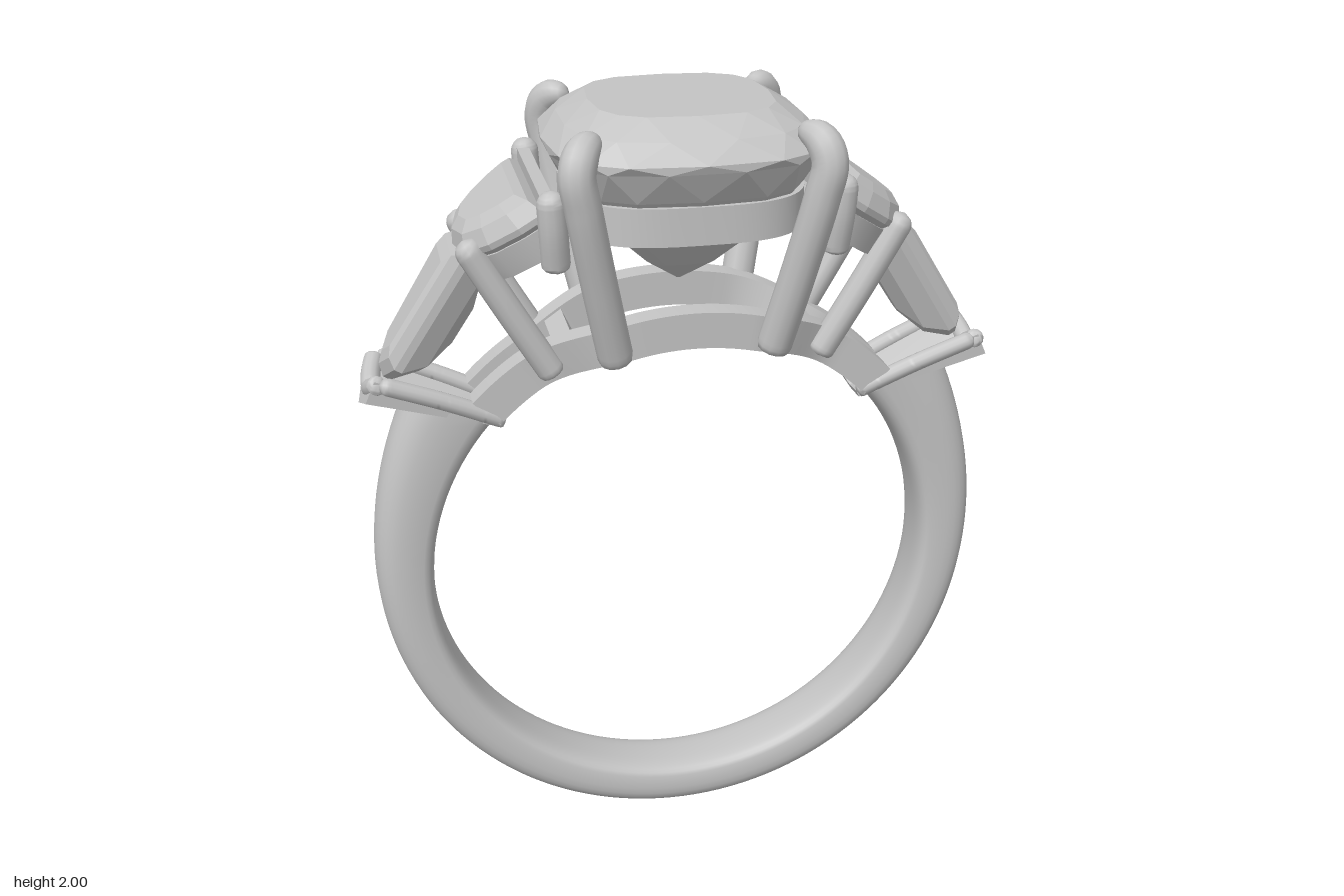
import * as THREE from 'three';
import { toCreasedNormals } from 'three/addons/utils/BufferGeometryUtils.js';

const silver = new THREE.MeshStandardMaterial({ color: 0xc4c4c4 });
silver.name = 'silver grey';
const V = (x, y, z) => new THREE.Vector3(x, y, z);
const CY = 0.78, INNER = 0.65; // finger hole centre height and radius

function add(parent, name, geometry) {
  const mesh = new THREE.Mesh(geometry, silver);
  mesh.name = name;
  parent.add(mesh);
  return mesh;
}

function fromTriangles(tris) {
  const g = new THREE.BufferGeometry().setFromPoints(tris);
  g.computeVertexNormals();
  return g;
}

// Skin a list of closed sections, capping both ends
function loft(sections, crease) {
  const tris = [], n = sections[0].length, last = sections.length - 1;
  const mid = s => s.reduce((a, p) => a.add(p), V(0, 0, 0)).divideScalar(n);
  const c0 = mid(sections[0]), c1 = mid(sections[last]);
  for (let j = 0; j < n; j++) {
    const k = (j + 1) % n;
    for (let i = 0; i < last; i++) {
      const a = sections[i], b = sections[i + 1];
      tris.push(a[j], b[j], a[k], b[j], b[k], a[k]);
    }
    tris.push(c0, sections[0][j], sections[0][k], c1, sections[last][k], sections[last][j]);
  }
  return toCreasedNormals(fromTriangles(tris), crease);
}

// Faceted stone: outline [x, z] scaled about cx for each [scale, y] ring, top to bottom
function gem(outline, rings, cx = 0, stagger = 0) {
  const n = outline.length, tris = [];
  const at = (k, [s, y]) => {
    const f = k - Math.floor(k), p = outline[Math.floor(k) % n], q = outline[(Math.floor(k) + 1) % n];
    return V(cx + (p[0] + (q[0] - p[0]) * f - cx) * s, y, (p[1] + (q[1] - p[1]) * f) * s);
  };
  const last = rings.length - 1;
  for (let i = 0; i < n; i++) {
    for (let j = 0; j < last; j++) {
      const o = i + j * stagger, u = rings[j], l = rings[j + 1];
      const u0 = at(o, u), u1 = at(o + 1, u), l0 = at(o + stagger, l), l1 = at(o + stagger + 1, l);
      tris.push(u0, u1, l0, u1, l1, l0);
    }
    const e = i + last * stagger;
    tris.push(V(cx, rings[0][1], 0), at(i + 1, rings[0]), at(i, rings[0]));
    tris.push(V(cx, rings[last][1], 0), at(e, rings[last]), at(e + 1, rings[last]));
  }
  return fromTriangles(tris);
}

// Round wire with rounded ends; tip is the length of the taper at its far end
function rod(points, r, tip = r) {
  const curve = new THREE.CatmullRomCurve3(points), N = 48, R = 12, L = curve.getLength();
  const g = new THREE.TubeGeometry(curve, N, r, R, false), pos = g.attributes.position;
  const cap = q => (q >= 1 ? 1 : Math.sqrt(Math.max(0, 1 - (1 - q) ** 2)));
  const v = V(0, 0, 0);
  for (let i = 0; i <= N; i++) {
    const t = i / N, c = curve.getPointAt(t);
    const k = Math.min(cap(t * L / (r * 0.5)), cap((1 - t) * L / tip));
    for (let j = 0; j <= R; j++) {
      const id = i * (R + 1) + j;
      v.fromBufferAttribute(pos, id).sub(c).multiplyScalar(k).add(c);
      pos.setXYZ(id, v.x, v.y, v.z);
    }
  }
  return toCreasedNormals(g, 1.2);
}

// Flat collar following an outline, from y0 up to y1
function collar(outline, outer, inner, y0, y1, cx = 0) {
  const pts = s => outline.map(([x, z]) => new THREE.Vector2(cx + (x - cx) * s, -z * s));
  const shape = new THREE.Shape(pts(outer));
  shape.holes.push(new THREE.Path(pts(inner)));
  const g = new THREE.ExtrudeGeometry(shape, { depth: y1 - y0, bevelEnabled: false });
  return toCreasedNormals(g.rotateX(-Math.PI / 2).translate(0, y0, 0), 0.6);
}

const spow = (v, e) => Math.sign(v) * Math.abs(v) ** e;

function cushion(n, r) {
  return Array.from({ length: n }, (_, i) => {
    const a = i / n * Math.PI * 2;
    return [r * spow(Math.cos(a), 0.66), r * spow(Math.sin(a), 0.66)];
  });
}

// Shank: flat inside, domed outside, thickening towards its slanted ends
function shank() {
  const sections = [];
  for (let i = 0; i <= 96; i++) {
    const t = i / 48 - 1, s = [];
    for (let j = 0; j < 28; j++) {
      const a = j / 28 * Math.PI * 2, c = Math.cos(a);
      const f = 0.5 + 0.5 * spow(c, c > 0 ? 0.85 : 0.35);
      const phi = t * (135 - 10 * f) * Math.PI / 180;
      const r = INNER + f * (0.13 + 0.015 * Math.abs(phi / (Math.PI / 2)) ** 5);
      s.push(V(r * Math.sin(phi), CY - r * Math.cos(phi), 0.088 * spow(Math.sin(a), 0.75)));
    }
    sections.push(s);
  }
  return loft(sections, 0.7);
}

// Gallery rail arching over the finger, bowed outwards under the main stone
function rail(side) {
  const sections = [];
  for (let i = 0; i <= 48; i++) {
    const phi = (i / 24 - 1) * 0.8;
    const z = side * (0.065 + 0.09 * (1 - THREE.MathUtils.smoothstep(Math.abs(phi), 0.22, 0.6)));
    sections.push([[0.74, 0.032], [0.74, -0.032], [INNER, -0.032], [INNER, 0.032]].map(([r, d]) =>
      V(r * Math.sin(phi), CY + r * Math.cos(phi), z + d)));
  }
  return loft(sections, 0.6);
}

// V-shaped seat closing the shank, tapering to its inner end
function chevronSeat() {
  const s = new THREE.Shape([[-0.1, 0], [-0.1, -0.06], [0, -0.1], [0.1, -0.06], [0.1, 0], [0, -0.055]]
    .map(p => new THREE.Vector2(...p)));
  const g = new THREE.ExtrudeGeometry(s, { depth: 0.34, bevelEnabled: false });
  const p = g.attributes.position;
  for (let i = 0; i < p.count; i++) {
    const k = 0.3 + 0.7 * p.getZ(i) / 0.34;
    p.setXY(i, p.getX(i) * (0.7 + 0.3 * k), p.getY(i) * k);
  }
  g.rotateY(Math.PI / 2);
  return toCreasedNormals(g.rotateZ(0.42).translate(0.45, 1.235, 0), 0.4);
}

function sideSetting() {
  const side = new THREE.Group();

  // Half-moon stone, tilted outwards
  const moon = new THREE.Group();
  moon.name = 'halfMoonSetting';
  moon.position.set(0.355, 1.8, 0);
  moon.rotation.z = -0.6;
  side.add(moon);
  const half = [[0, -0.22], [0.07, -0.205], [0.15, -0.165], [0.21, -0.105], [0.235, 0],
    [0.21, 0.105], [0.15, 0.165], [0.07, 0.205], [0, 0.22], [0, 0.08], [0, -0.08]];
  add(moon, 'halfMoonStone', gem(half, [[0.62, 0.05], [0.84, 0.034], [1, 0], [1, -0.015], [0.6, -0.09], [0.1, -0.14]], 0.09));
  add(moon, 'halfMoonCollar', collar(half, 0.95, 0.72, -0.1, -0.03, 0.1));
  add(side, 'dividerBar', new THREE.BoxGeometry(0.03, 0.13, 0.44).translate(0.347, 1.77, 0));

  // Tapered baguette stone with a pointed lower end
  const baguette = new THREE.Group();
  baguette.name = 'baguetteSetting';
  baguette.position.set(0.535, 1.68, 0);
  baguette.rotation.z = -1.0;
  side.add(baguette);
  const taper = [[0, -0.098], [0.34, -0.07], [0.39, 0], [0.34, 0.07], [0, 0.098]];
  add(baguette, 'baguetteStone', gem(taper, [[0.72, 0.025], [0.88, 0.015], [1, -0.01], [1, -0.03], [0.75, -0.08], [0.3, -0.11]], 0.18));

  // Seat and its V-shaped claw
  add(side, 'chevronSeat', chevronSeat());
  for (const z of [-1, 1]) {
    add(side, 'chevronArm', rod([V(0.45, 1.235, 0.075 * z), V(0.6, 1.305, 0.09 * z), V(0.75, 1.365, 0.1 * z)], 0.022));
    add(side, 'chevronTip', rod([V(0.752, 1.365, 0.1 * z), V(0.765, 1.34, 0.05 * z), V(0.77, 1.315, -0.006 * z)], 0.024));
    // Claws of the half-moon stone
    add(side, 'outerClaw', rod([V(0.33, 1.36, 0.115 * z), V(0.43, 1.53, 0.12 * z), V(0.535, 1.715, 0.122 * z)], 0.034));
    add(side, 'innerClaw', rod([V(0.33, 1.66, 0.215 * z), V(0.337, 1.76, 0.235 * z), V(0.342, 1.855, 0.24 * z)], 0.034));
    // Claw of the main stone, hooked over its corner
    add(side, 'mainClaw', rod([V(0.19, 1.41, 0.195 * z), V(0.235, 1.62, 0.245 * z), V(0.275, 1.82, 0.287 * z),
      V(0.288, 1.9, 0.292 * z), V(0.272, 1.945, 0.27 * z), V(0.232, 1.965, 0.222 * z)], 0.043, 0.1));
  }

  // Cross bar between the gallery rails
  const bar = add(side, 'galleryCrossBar', new THREE.BoxGeometry(0.05, 0.08, 0.24));
  bar.position.set(0.29, 1.41, 0);
  bar.rotation.z = -0.43;
  return side;
}

export function createModel() {
  const ring = new THREE.Group();
  ring.name = 'threeStoneRing';
  add(ring, 'shank', shank());
  for (const z of [-1, 1]) add(ring, 'galleryRail', rail(z));

  // Main cushion-cut stone and its collar
  add(ring, 'mainStone', gem(cushion(16, 0.33),
    [[0.66, 2], [0.88, 1.96], [1, 1.915], [1, 1.895], [0.86, 1.82], [0.62, 1.71], [0.28, 1.61], [0.02, 1.55]], 0, 0.5));
  add(ring, 'mainCollar', collar(cushion(64, 0.285), 1, 0.82, 1.72, 1.81));

  // Matching settings on both shoulders
  for (const [name, turn] of [['leftShoulder', 0], ['rightShoulder', Math.PI]]) {
    const side = sideSetting();
    side.name = name;
    side.rotation.y = turn;
    ring.add(side);
  }
  return ring;
}
